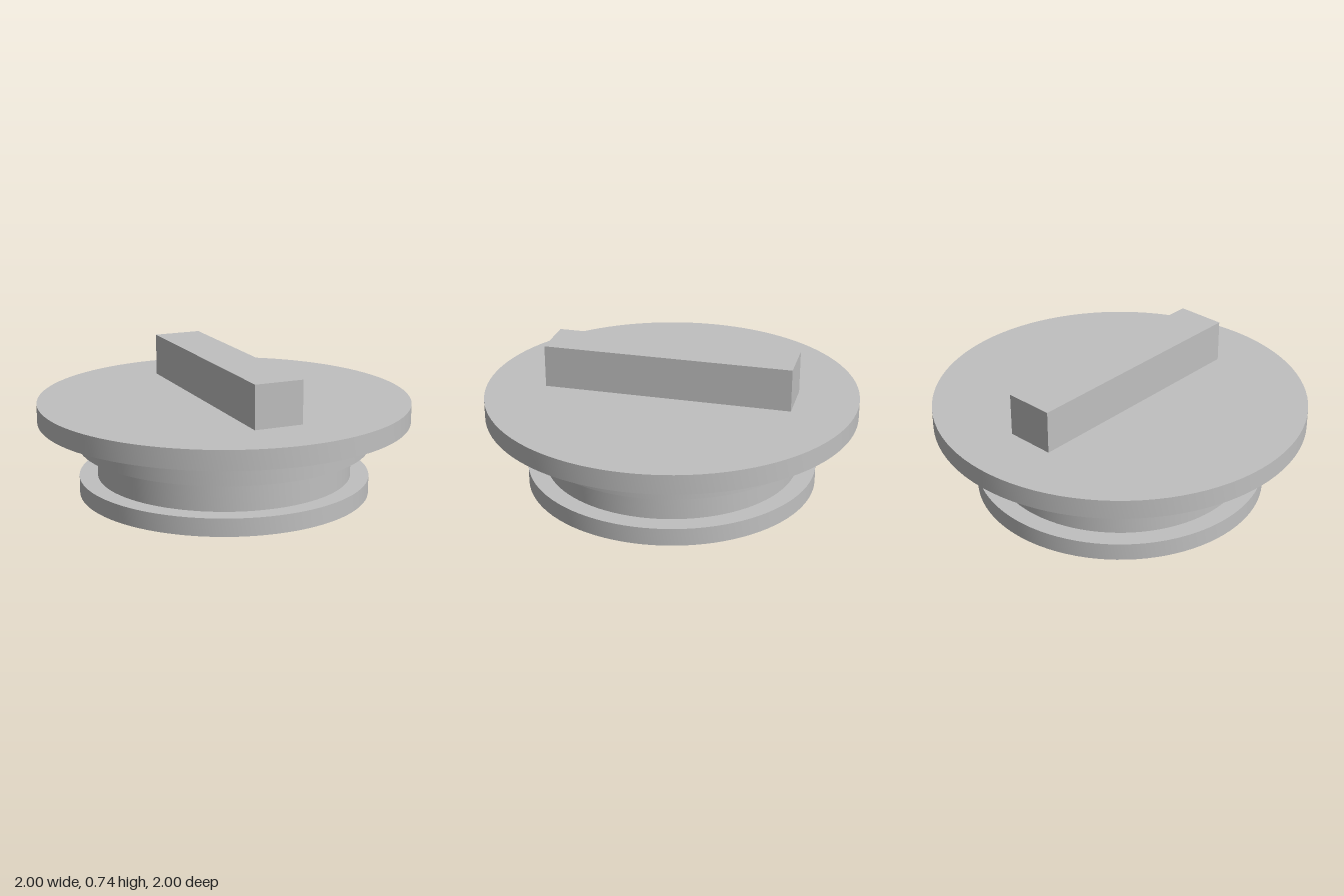
import * as THREE from 'three';
import { toCreasedNormals } from 'three/addons/utils/BufferGeometryUtils.js';

export function createModel() {
  const model = new THREE.Group();
  model.name = 'plugCap';
  const grey = new THREE.MeshStandardMaterial({ color: 0xc0c0c0 });
  grey.name = 'grey';

  // Turned body: hollow underside, lower lip, seal groove, shoulder and flange
  const profile = [
    [0, 0.334], [0.68, 0.334], [0.68, 0],
    [0.785, 0], [0.785, 0.095],
    [0.686, 0.095], [0.686, 0.26],
    [0.785, 0.26], [0.785, 0.405],
    [1, 0.405], [1, 0.508], [0, 0.508],
  ].map(([r, y]) => new THREE.Vector2(r, y));
  const body = new THREE.Mesh(
    toCreasedNormals(new THREE.LatheGeometry(profile, 96), Math.PI / 6), grey);
  body.name = 'cap';
  model.add(body);

  // Straight grip bar across the top
  const grip = new THREE.Mesh(new THREE.BoxGeometry(0.264, 0.229, 1.334), grey);
  grip.name = 'gripBar';
  grip.position.y = 0.508 + 0.229 / 2;
  model.add(grip);

  return model;
}
